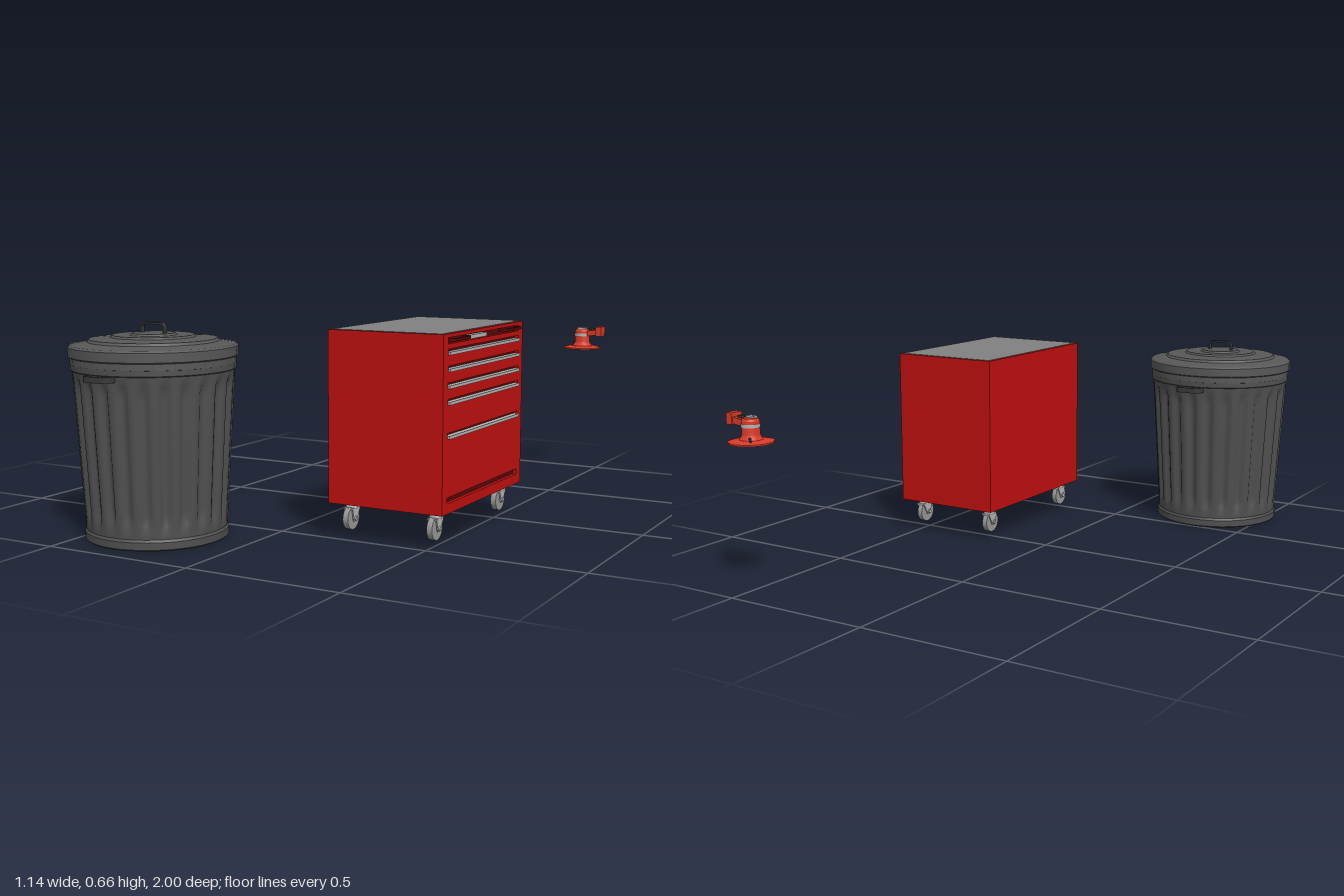
import * as THREE from 'three';
import { toCreasedNormals } from 'three/addons/utils/BufferGeometryUtils.js';

const mat = (color, side = THREE.FrontSide) =>
  new THREE.MeshStandardMaterial({ color, side, roughness: 0.7 });
const canGrey = mat(0x505050), lidGrey = mat(0x585858), darkGrey = mat(0x3a3a3a);
const red = mat(0xc01010), darkRed = mat(0x5a0808), topGrey = mat(0x808080);
const steel = mat(0xb4b4b4), toolRed = mat(0xd83a28);

function add(parent, name, geo, material, x = 0, y = 0, z = 0) {
  const m = new THREE.Mesh(geo, material);
  m.name = name;
  m.position.set(x, y, z);
  parent.add(m);
  return m;
}
const box = (w, h, d) => new THREE.BoxGeometry(w, h, d);
const lathe = (pts, n) => toCreasedNormals(
  new THREE.LatheGeometry(pts.map(([r, y]) => new THREE.Vector2(r, y)), n), 0.5);

// flat strip bent into a U-shaped handle: feet on y = 0, centred in z
function bandHandle(w, h, t, depth) {
  const arch = (hw, top, r) => {
    const pts = [[-hw, 0]];
    for (let i = 0; i <= 5; i++) {
      const a = Math.PI - (i / 5) * Math.PI / 2;
      pts.push([-hw + r + r * Math.cos(a), top - r + r * Math.sin(a)]);
    }
    return pts.concat(pts.slice().reverse().map(([x, y]) => [-x, y]));
  };
  const outline = arch(w / 2, h, h * 0.5).concat(arch(w / 2 - t, h - t, h * 0.5 - t).reverse());
  const shape = new THREE.Shape(outline.map(([x, y]) => new THREE.Vector2(x, y)));
  const geo = new THREE.ExtrudeGeometry(shape, { depth, bevelEnabled: false });
  return toCreasedNormals(geo.translate(0, 0, -depth / 2), 0.6);
}

// fluted wall: tapered cylinder pushed inwards between the ribs
function flutedWall(r0, r1, y0, y1, flutes) {
  const geo = new THREE.CylinderGeometry(1, 1, 1, flutes * 8, 24, true);
  const p = geo.attributes.position;
  for (let i = 0; i < p.count; i++) {
    const v = p.getY(i) + 0.5, a = Math.atan2(p.getZ(i), p.getX(i));
    const ends = THREE.MathUtils.smoothstep(Math.min(v, 1 - v), 0.03, 0.12);
    const dip = THREE.MathUtils.smoothstep(Math.cos(a * flutes), -0.5, 0.8);
    const r = r0 + (r1 - r0) * v - 0.012 * ends * dip;
    p.setXYZ(i, r * Math.cos(a), y0 + (y1 - y0) * v, r * Math.sin(a));
  }
  geo.computeVertexNormals();
  return geo;
}

function createBin() {
  const g = new THREE.Group();
  g.name = 'trashCan';
  add(g, 'binBase', lathe([[0, 0.004], [0.212, 0.004], [0.216, 0], [0.22, 0.004], [0.22, 0.026],
    [0.214, 0.034], [0.214, 0.045]], 48), canGrey);
  add(g, 'binWall', flutedWall(0.216, 0.246, 0.034, 0.525, 24), canGrey);
  add(g, 'binRim', lathe([[0.243, 0.515], [0.25, 0.52], [0.25, 0.556], [0.243, 0.56]], 48), canGrey);
  // stepped lid
  add(g, 'lid', lathe([[0.247, 0.535], [0.251, 0.537], [0.251, 0.556], [0.257, 0.56], [0.257, 0.588],
    [0.25, 0.594], [0.2, 0.602], [0.194, 0.61], [0.13, 0.615], [0.124, 0.621], [0.072, 0.62],
    [0.066, 0.626], [0, 0.626]], 32), lidGrey);
  add(g, 'lidHandle', bandHandle(0.092, 0.035, 0.006, 0.016), darkGrey, 0, 0.623, 0);
  // side handles at front and back
  for (const s of [1, -1]) {
    const h = add(g, 'sideHandle', bandHandle(0.095, 0.04, 0.007, 0.018), darkGrey, 0, 0.51, s * 0.24);
    h.rotation.x = s * Math.PI / 2;
  }
  g.position.set(-0.316, 0, 0.72);
  return g;
}

function createCaster(x, z) {
  const g = new THREE.Group();
  g.name = 'caster';
  add(g, 'casterPlate', box(0.042, 0.006, 0.07), steel, 0, 0.107, 0);
  add(g, 'swivel', new THREE.CylinderGeometry(0.016, 0.02, 0.016, 16), steel, 0, 0.097, 0);
  add(g, 'forkTop', box(0.032, 0.006, 0.045), steel, 0, 0.088, 0);
  // fork cheeks taper down to the axle
  const cheek = new THREE.Shape([[-0.024, 0.09], [-0.014, 0.05], [0.002, 0.05], [0.024, 0.09]]
    .map(([a, b]) => new THREE.Vector2(a, b)));
  for (const s of [-1, 1]) {
    const geo = new THREE.ExtrudeGeometry(cheek, { depth: 0.004, bevelEnabled: false });
    add(g, 'forkCheek', geo.translate(0, 0, -0.002).rotateY(Math.PI / 2), steel, s * 0.014, 0, 0);
  }
  const disc = (r, w) => new THREE.CylinderGeometry(r, r, w, 24).rotateZ(Math.PI / 2);
  add(g, 'wheel', disc(0.036, 0.018), mat(0x999999), 0, 0.059, 0.006);
  add(g, 'axle', disc(0.007, 0.042), steel, 0, 0.059, 0.006);
  g.position.set(x, 0, z);
  return g;
}

function createCabinet() {
  const g = new THREE.Group();
  g.name = 'toolCabinet';
  const cz = 0.21, w = 0.59, y0 = 0.11, y1 = 0.64;
  add(g, 'cabinetBody', box(0.368, y1 - y0, w), red, 0.356, (y0 + y1) / 2, cz);
  add(g, 'topMat', box(0.366, 0.004, 0.576), topGrey, 0.363, 0.6395, cz);

  // drawer face with a finger slot above every drawer
  const pulls = [0.583, 0.534, 0.485, 0.437, 0.337];
  const slots = [0.62, ...pulls.map(y => y + 0.004), 0.15];
  const rect = (path, hw, a, b) => {
    path.moveTo(-hw, a); path.lineTo(hw, a); path.lineTo(hw, b); path.lineTo(-hw, b); path.closePath();
    return path;
  };
  const face = rect(new THREE.Shape(), w / 2, y0, y1);
  for (const y of slots) face.holes.push(rect(new THREE.Path(), 0.262, y - 0.009, y + 0.009));
  const faceGeo = new THREE.ExtrudeGeometry(face, { depth: 0.015, bevelEnabled: false });
  add(g, 'drawerFace', faceGeo.rotateY(Math.PI / 2), red, 0.54, 0, cz);
  for (const y of slots) add(g, 'slotBack', box(0.004, 0.018, 0.524), darkRed, 0.541, y, cz);
  for (const y of pulls) add(g, 'drawerPull', box(0.018, 0.009, 0.522), steel, 0.552, y, cz);

  // top drawer: centre latch plate and two grips
  add(g, 'latchPlate', box(0.014, 0.012, 0.12), steel, 0.551, 0.62, 0.267);
  for (const z of [0.405, 0.017]) {
    const grip = add(g, 'grip', bandHandle(0.132, 0.028, 0.007, 0.008), darkRed, 0.542, 0.622, z);
    grip.rotation.set(Math.PI / 2, 0, -Math.PI / 2);
  }
  for (const x of [0.22, 0.505]) for (const z of [0.445, -0.024]) g.add(createCaster(x, z));
  return g;
}

function createTool() {
  const g = new THREE.Group();
  g.name = 'discTool';
  // guard disc and motor housing
  add(g, 'guardDisc', lathe([[0, 0.475], [0.069, 0.475], [0.069, 0.48], [0.045, 0.486], [0, 0.486]], 24), toolRed);
  add(g, 'motorHousing', lathe([[0.04, 0.482], [0.032, 0.492], [0.028, 0.5], [0.028, 0.542],
    [0.023, 0.55], [0, 0.55]], 20), toolRed);
  add(g, 'motorBand', new THREE.CylinderGeometry(0.0295, 0.0295, 0.01, 20), steel, 0, 0.528, 0);
  // handle arm reaching out to +x
  const arm = add(g, 'handleArm', box(0.075, 0.02, 0.026), toolRed, 0.038, 0.535, 0.002);
  arm.rotation.z = 0.12;
  add(g, 'handleEnd', box(0.022, 0.036, 0.044), toolRed, 0.073, 0.543, 0.006);
  add(g, 'switch', box(0.016, 0.008, 0.012), darkGrey, 0.04, 0.55, 0.002);
  add(g, 'topPlate', box(0.032, 0.006, 0.016), steel, 0.002, 0.553, 0.008);
  // thin lever at the back corner
  const lever = add(g, 'lever', new THREE.CylinderGeometry(0.004, 0.004, 0.055, 8)
    .rotateZ(Math.PI / 2), darkGrey, -0.035, 0.492, -0.04);
  lever.rotation.y = -0.75;
  g.position.set(0.457, 0, -0.931);
  return g;
}

export function createModel() {
  const model = new THREE.Group();
  model.name = 'workshopSet';
  model.add(createBin(), createCabinet(), createTool());
  return model;
}
